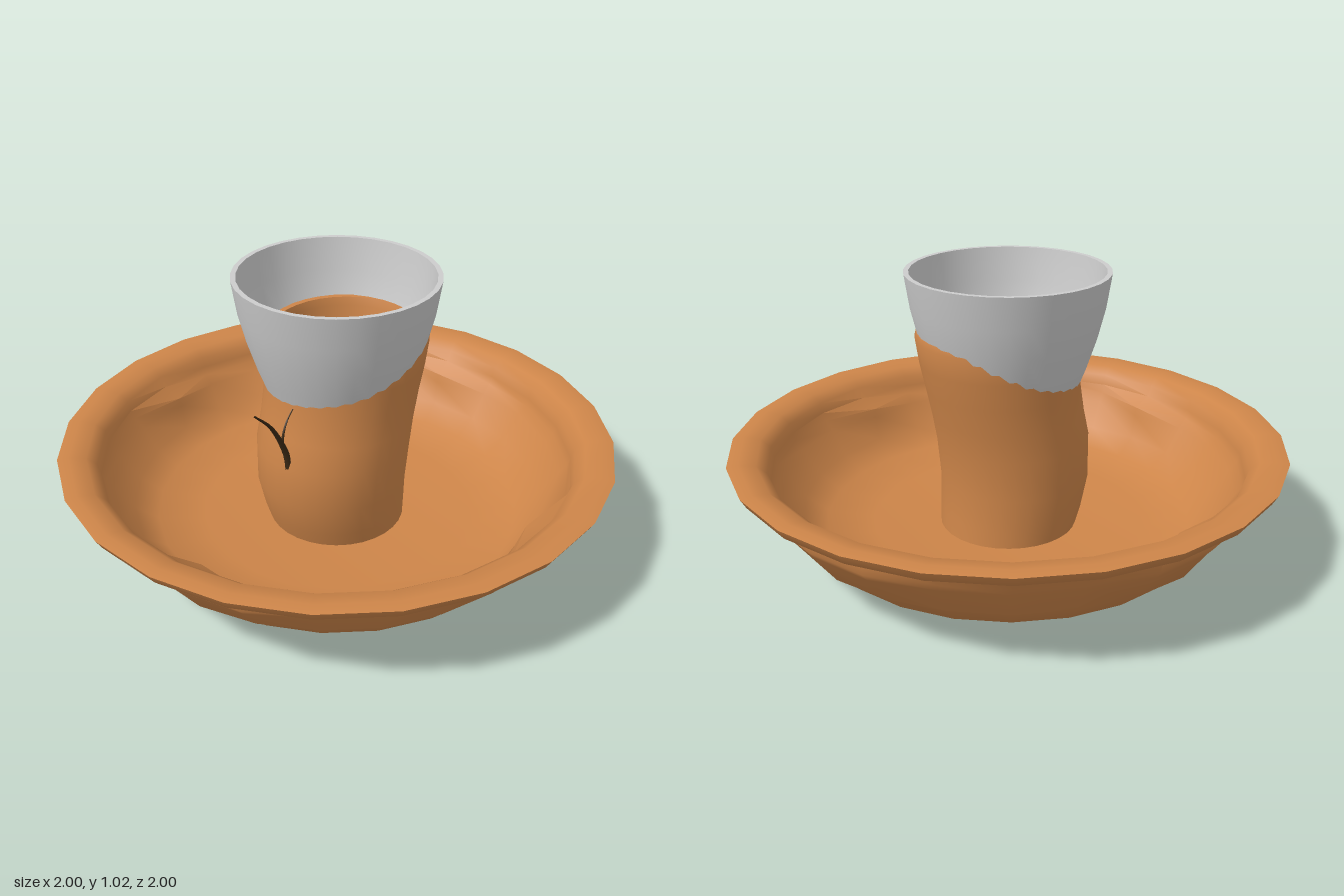
import * as THREE from 'three';
import { toCreasedNormals } from 'three/addons/utils/BufferGeometryUtils.js';

const brown = new THREE.MeshStandardMaterial({ color: 0xcd8549, side: THREE.DoubleSide });
const grey = new THREE.MeshStandardMaterial({ color: 0xcccccc, side: THREE.DoubleSide });
const dark = new THREE.MeshStandardMaterial({ color: 0x3a2814 });

const SIDES = 24;

function lathe(points, sides = SIDES) {
  return new THREE.LatheGeometry(points.map(([r, y]) => new THREE.Vector2(r, y)), sides);
}

function part(name, geometry, material, crease = 0.75) {
  const mesh = new THREE.Mesh(toCreasedNormals(geometry, crease), material);
  mesh.name = name;
  return mesh;
}

// Saucer: [radius, height, push at a side's middle, push 15 degrees away from it]
function makeSaucer() {
  const profile = [
    [0, 0.015, 0, 0], [0.3, 0.015, 0, 0], [0.57, 0.025, 0, 0], [0.71, 0.065, 0, 0],
    [0.765, 0.125, 0, 0], [0.775, 0.135, 0.02, 0.01], [0.85, 0.25, 0.025, 0.025],
    [0.87, 0.28, 0.03, 0.03], [0.885, 0.32, 0.015, 0.015], [0.9, 0.335, 0, 0],
    [0.98, 0.36, 0, 0], [1, 0.395, 0, 0], [0.96, 0.4, 0, 0], [0.9, 0.39, 0, 0],
    [0.865, 0.36, 0, 0], [0.855, 0.32, -0.01, 0], [0.845, 0.29, -0.075, -0.005],
    [0.82, 0.255, -0.055, -0.01], [0.75, 0.16, 0, 0], [0.67, 0.1, 0, 0],
    [0.5, 0.075, 0, 0], [0, 0.065, 0, 0],
  ];
  const geometry = lathe(profile);
  const pos = geometry.attributes.position;
  for (let i = 0; i < pos.count; i++) {
    const [r, , middle, beside] = profile[i % profile.length];
    if (r === 0) continue;
    const k = Math.floor(i / profile.length) % 6;
    const push = k === 0 ? middle : (k === 1 || k === 5) ? beside : 0;
    const s = (r + push) / r;
    pos.setX(i, pos.getX(i) * s);
    pos.setZ(i, pos.getZ(i) * s);
  }
  return part('saucer', geometry, brown, 0.8);
}

// Leaning bark sleeve: tube whose centre drifts backwards as it rises
function makeSleeve() {
  const outer = [[0.25, 0.06], [0.26, 0.13], [0.272, 0.25], [0.278, 0.4], [0.275, 0.5],
    [0.277, 0.6], [0.285, 0.7], [0.29, 0.79], [0.283, 0.81]];
  const inner = [[0.262, 0.81], [0.255, 0.78], [0.25, 0.6], [0.25, 0.4], [0.24, 0.06]];
  const geometry = lathe([...outer, ...inner], 32);
  const drift = new THREE.CatmullRomCurve3([
    new THREE.Vector3(0, 0.06, 0), new THREE.Vector3(0, 0.25, 0.035),
    new THREE.Vector3(0.005, 0.4, 0.03), new THREE.Vector3(0.012, 0.6, -0.012),
    new THREE.Vector3(0.02, 0.81, -0.035),
  ]);
  const samples = drift.getPoints(60);
  const pos = geometry.attributes.position;
  for (let i = 0; i < pos.count; i++) {
    const y = pos.getY(i);
    const c = samples.find((p) => p.y >= y - 1e-6) || samples[60];
    pos.setX(i, pos.getX(i) + c.x);
    pos.setZ(i, pos.getZ(i) + c.z);
  }
  return part('sleeve', geometry, brown, 0.9);
}

// Thin twig: a tube tapering to its tip
function makeTwig(name, points, r0, r1) {
  const curve = new THREE.CatmullRomCurve3(points.map(([y, z]) => new THREE.Vector3(0, y, z)));
  const rings = 12, around = 6;
  const geometry = new THREE.TubeGeometry(curve, rings, 1, around);
  const pos = geometry.attributes.position;
  const v = new THREE.Vector3();
  for (let i = 0; i < pos.count; i++) {
    const t = Math.floor(i / (around + 1)) / rings;
    const c = curve.getPointAt(t);
    v.fromBufferAttribute(pos, i).sub(c).multiplyScalar(r0 + (r1 - r0) * t).add(c);
    pos.setXYZ(i, v.x, v.y, v.z);
  }
  return part(name, geometry, dark, 1.2);
}

export function createModel() {
  const model = new THREE.Group();
  model.name = 'cupOnSaucer';

  model.add(makeSaucer(), makeSleeve());

  // Flared cup, narrowing to an open throat inside the sleeve
  model.add(part('cup', lathe([
    [0.12, 0.08], [0.12, 0.25], [0.16, 0.36], [0.215, 0.5], [0.25, 0.6], [0.28, 0.68],
    [0.315, 0.79], [0.342, 0.9], [0.36, 1.02], [0.342, 1.02], [0.325, 0.9], [0.298, 0.79],
    [0.263, 0.68], [0.235, 0.6], [0.2, 0.5], [0.145, 0.36], [0.11, 0.25], [0.11, 0.08],
  ], 32), grey));

  // Flat foot under the saucer
  model.add(part('foot', lathe([[0, 0], [0.25, 0.003], [0.3, 0.01], [0.3, 0.022], [0, 0.022]], 32), grey));

  // Twig on the front of the sleeve, with a side shoot
  const twigs = new THREE.Group();
  twigs.name = 'twig';
  twigs.add(
    makeTwig('mainStem', [[0.37, 0.292], [0.45, 0.305], [0.52, 0.335], [0.61, 0.39], [0.695, 0.475]], 0.014, 0.003),
    makeTwig('sideShoot', [[0.5, 0.33], [0.55, 0.322], [0.59, 0.3], [0.62, 0.265]], 0.006, 0.002),
  );
  model.add(twigs);
  return model;
}
